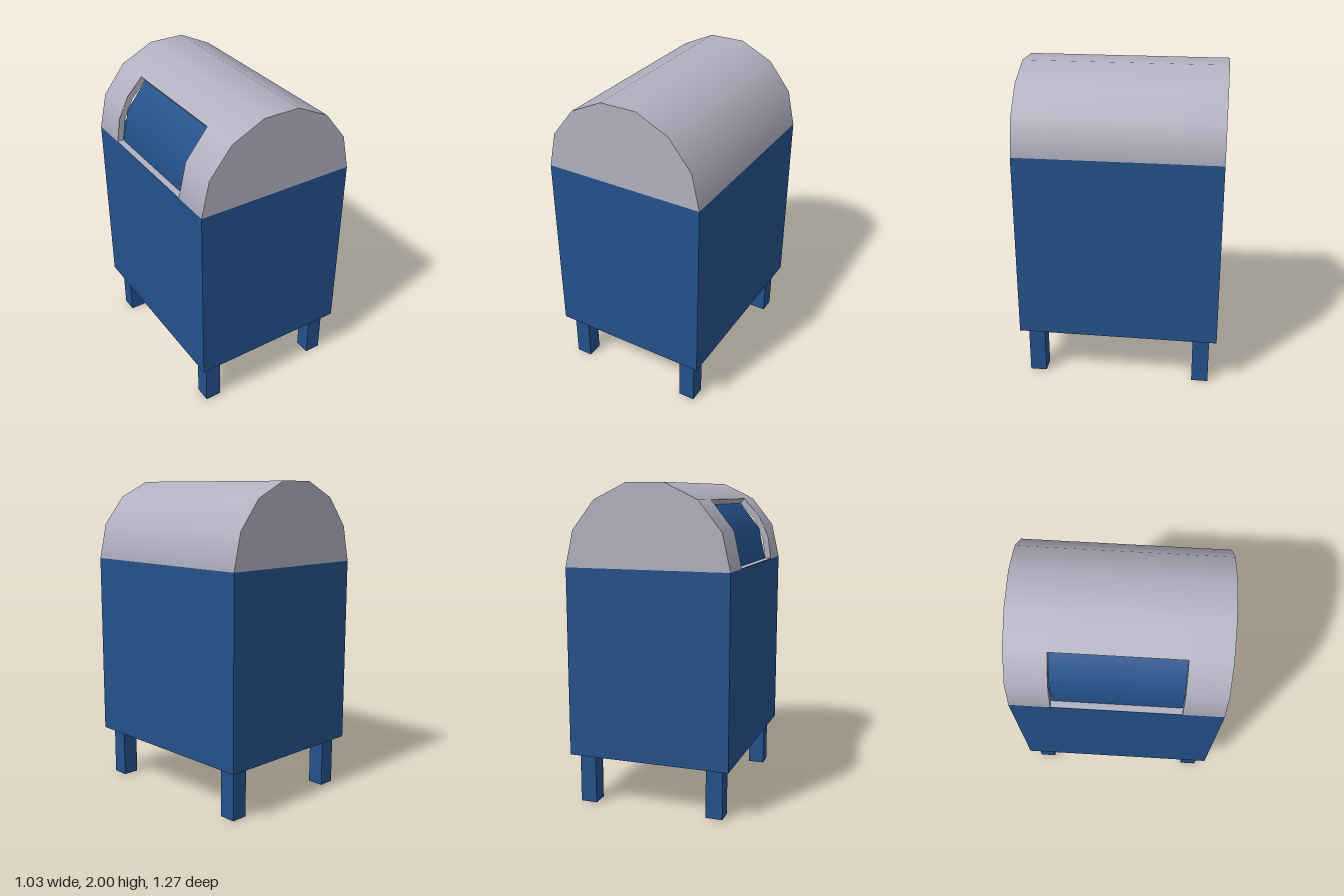
import * as THREE from 'three';

export function createModel() {
  const blue = new THREE.MeshStandardMaterial({ color: 0x23518b });
  blue.name = 'blue paint';
  const grey = new THREE.MeshStandardMaterial({ color: 0xb0b0c0 });
  grey.name = 'pale grey';

  const R = 0.515, RIN = 0.475;      // roof radius, recessed hatch radius
  const BASE = 1.497, LEG = 0.318;   // roof spring line, leg height
  const D = 0.635, HZ = 0.388;       // half depth, half length of the hatch
  const STEP = Math.PI / 7;          // one roof facet

  const model = new THREE.Group();
  model.name = 'mailbox';
  const add = (parent, name, geometry, material, x = 0, y = 0, z = 0) => {
    const mesh = new THREE.Mesh(geometry, material);
    mesh.name = name;
    mesh.position.set(x, y, z);
    parent.add(mesh);
    return mesh;
  };

  // Body
  add(model, 'body', new THREE.BoxGeometry(2 * R, BASE - LEG, 2 * D), blue, 0, (BASE + LEG) / 2, 0);

  // Legs
  for (const sx of [-1, 1]) {
    for (const sz of [-1, 1]) {
      add(model, 'leg', new THREE.BoxGeometry(0.105, LEG, 0.105), blue, sx * 0.415, LEG / 2, sz * 0.535);
    }
  }

  // Arched roof, from facet "first" on the right side to the left side
  const roof = new THREE.Group();
  roof.name = 'roof';
  roof.position.y = BASE;
  model.add(roof);
  const arch = (radius, z0, z1, first, count) =>
    new THREE.CylinderGeometry(radius, radius, z1 - z0, count, 1, true,
      -Math.PI / 2 + first * STEP, count * STEP)
      .rotateX(-Math.PI / 2).translate(0, 0, (z0 + z1) / 2);
  add(roof, 'roofBack', arch(R, -D, -HZ, 0, 7), grey);
  add(roof, 'roofMiddle', arch(R, -HZ, HZ, 2, 5), grey);
  add(roof, 'roofFront', arch(R, HZ, D, 0, 7), grey);

  // Flat roof ends
  add(roof, 'frontEnd', new THREE.CircleGeometry(R, 7, 0, Math.PI), grey, 0, 0, D);
  add(roof, 'backEnd', new THREE.CircleGeometry(R, 7, 0, Math.PI).rotateY(Math.PI), grey, 0, 0, -D);

  // Recessed hatch on the right side, with its surround
  add(roof, 'hatch', arch(RIN, -HZ, HZ, 0, 2), blue);
  add(roof, 'hatchSideBack', new THREE.RingGeometry(RIN, R, 2, 1, 5 * STEP, 2 * STEP), grey, 0, 0, -HZ);
  add(roof, 'hatchSideFront',
    new THREE.RingGeometry(RIN, R, 2, 1, 0, 2 * STEP).rotateY(Math.PI), grey, 0, 0, HZ);
  const edge = (turn) => new THREE.PlaneGeometry(R - RIN, 2 * HZ)
    .rotateX(turn).translate(-(R + RIN) / 2, 0, 0);
  add(roof, 'hatchSill', edge(-Math.PI / 2), grey, 0, 0.003, 0);
  add(roof, 'hatchLip', edge(Math.PI / 2).rotateZ(-2 * STEP), grey);

  return model;
}
